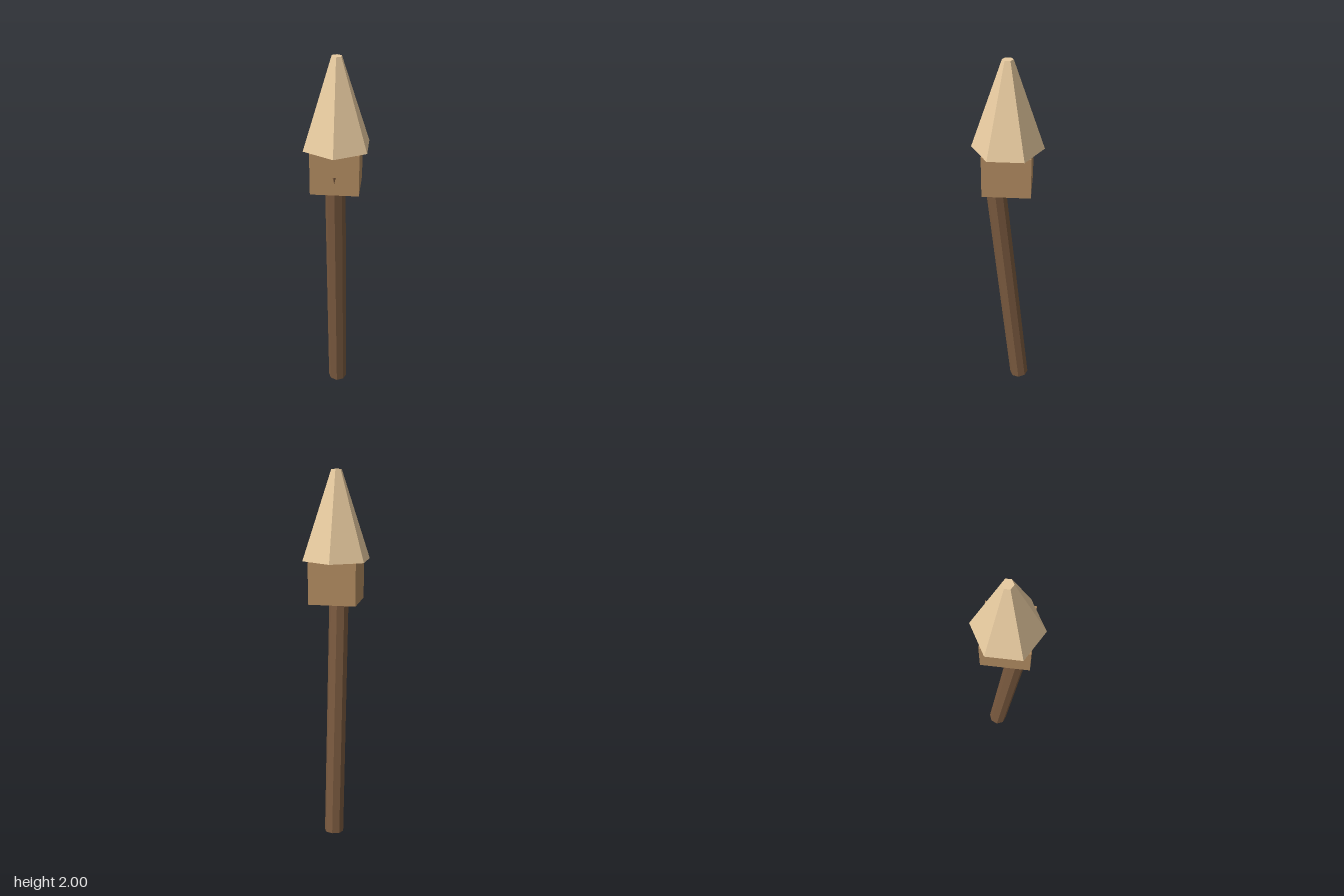
import * as THREE from 'three';

function addPart(group, name, geometry, color) {
  const material = new THREE.MeshStandardMaterial({ color, flatShading: true });
  const mesh = new THREE.Mesh(geometry, material);
  mesh.name = name;
  group.add(mesh);
  return mesh;
}

export function createModel() {
  const model = new THREE.Group();
  model.name = 'woodenSpear';

  // Eight-sided shaft, leaning forward; its top corner just pierces the collar front
  const length = 1.425, radius = 0.053, tilt = 0.101;
  const shaftGeometry = new THREE.CylinderGeometry(radius, radius, length, 8);
  shaftGeometry.translate(0, length / 2, 0);
  const shaft = addPart(model, 'shaft', shaftGeometry, 0x7a5a3f);
  shaft.rotation.x = tilt;
  shaft.position.set(0, radius * Math.sin(tilt), -0.068);

  // Square collar joining shaft and tip
  const collar = addPart(model, 'collar', new THREE.BoxGeometry(0.25, 0.22, 0.25), 0xb08a60);
  collar.position.y = 1.43;

  // Six-sided tip with a small blunt end
  const tip = addPart(model, 'tip', new THREE.CylinderGeometry(0.028, 0.186, 0.46, 6), 0xe8cba0);
  tip.position.y = 1.77;

  return model;
}
